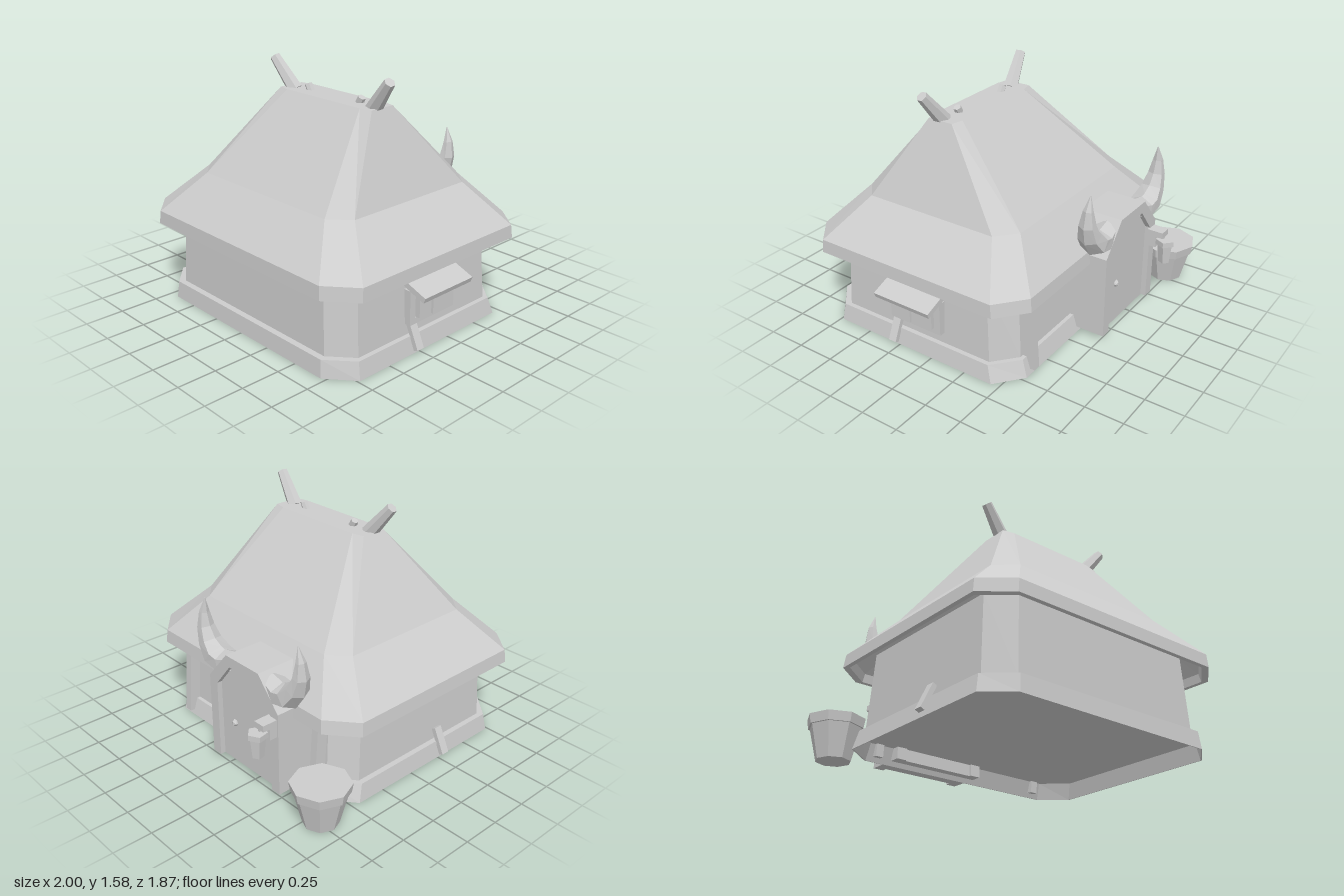
import * as THREE from 'three';

const grey = new THREE.MeshStandardMaterial({ color: 0xcccccc, flatShading: true });
grey.name = 'plain grey';

// Skin a stack of rings (each a loop of Vector3) and close both ends
function loft(rings) {
  const pos = [];
  const tri = (...v) => v.forEach(p => pos.push(p.x, p.y, p.z));
  const n = rings[0].length;
  for (let r = 0; r < rings.length - 1; r++) {
    const lo = rings[r], hi = rings[r + 1];
    for (let i = 0; i < n; i++) {
      const j = (i + 1) % n;
      tri(lo[i], hi[i], hi[j]);
      tri(lo[i], hi[j], lo[j]);
    }
  }
  const first = rings[0], last = rings[rings.length - 1];
  for (let i = 1; i < n - 1; i++) {
    tri(first[0], first[i], first[i + 1]);
    tri(last[0], last[i + 1], last[i]);
  }
  const g = new THREE.BufferGeometry();
  g.setAttribute('position', new THREE.Float32BufferAttribute(pos, 3));
  g.computeVertexNormals();
  return g;
}

// Rectangle with cut corners, lying flat at height y
function cutRect(y, x0, x1, z0, z1, cx, cz) {
  return [
    [x1, z0 + cz], [x1, z1 - cz], [x1 - cx, z1], [x0 + cx, z1],
    [x0, z1 - cz], [x0, z0 + cz], [x0 + cx, z0], [x1 - cx, z0],
  ].map(([x, z]) => new THREE.Vector3(x, y, z));
}

export function createModel() {
  const model = new THREE.Group();
  model.name = 'hut';

  const add = (name, geo, x = 0, y = 0, z = 0) => {
    const m = new THREE.Mesh(geo, grey);
    m.name = name;
    m.position.set(x, y, z);
    model.add(m);
    return m;
  };
  // Box given by its extents
  const block = (name, x0, x1, y0, y1, z0, z1) =>
    add(name, new THREE.BoxGeometry(x1 - x0, y1 - y0, z1 - z0), (x0 + x1) / 2, (y0 + y1) / 2, (z0 + z1) / 2);
  // Bar running between two points
  const bar = (name, a, b, makeGeo) => {
    const from = new THREE.Vector3(...a), to = new THREE.Vector3(...b);
    const m = add(name, makeGeo(from.distanceTo(to)));
    m.position.copy(from).add(to).multiplyScalar(0.5);
    m.quaternion.setFromUnitVectors(new THREE.Vector3(0, 1, 0), to.sub(from).normalize());
    return m;
  };

  // Base: a skirt around a raised floor
  add('base', loft([
    cutRect(0.105, -0.825, 0.865, -0.545, 0.855, 0.16, 0.14),
    cutRect(0, -0.845, 0.885, -0.58, 0.87, 0.17, 0.14),
    cutRect(0, -0.85, 0.89, -0.585, 0.875, 0.17, 0.14),
    cutRect(0.11, -0.83, 0.87, -0.55, 0.865, 0.16, 0.14),
  ]));
  // Walls lean slightly inwards, with cut corners
  add('walls', loft([
    cutRect(0.106, -0.795, 0.84, -0.525, 0.825, 0.145, 0.125),
    cutRect(0.60, -0.772, 0.815, -0.49, 0.805, 0.145, 0.12),
  ]));
  // Hollow roof: inside surface, eave, then outside surface
  add('roof', loft([
    cutRect(1.34, -0.28, 0.48, 0.10, 0.265, 0.08, 0.018),
    cutRect(0.83, -0.62, 0.665, -0.405, 0.67, 0.125, 0.11),
    cutRect(0.575, -0.88, 0.92, -0.615, 0.895, 0.18, 0.15),
    cutRect(0.52, -0.89, 0.93, -0.625, 0.905, 0.18, 0.15),
    cutRect(0.52, -0.92, 0.96, -0.655, 0.935, 0.18, 0.15),
    cutRect(0.605, -0.91, 0.955, -0.645, 0.93, 0.18, 0.15),
    cutRect(0.86, -0.65, 0.695, -0.435, 0.70, 0.125, 0.11),
    cutRect(1.382, -0.30, 0.50, 0.08, 0.287, 0.08, 0.018),
  ]));

  // Planks leaning on the back wall and the sides
  const plank = (w, d) => len => new THREE.BoxGeometry(w, len, d);
  for (const x of [0.645, -0.605]) bar('backPlank', [x, 0.03, -0.57], [x, 0.60, -0.53], plank(0.05, 0.075));
  bar('sidePlank', [0.915, 0.03, 0.28], [0.845, 0.19, 0.28], plank(0.03, 0.055));
  bar('sidePlank', [-0.875, 0.03, 0.28], [-0.80, 0.19, 0.28], plank(0.03, 0.055));

  // Ridge poles and pegs
  const pole = (r0, r1) => len => new THREE.CylinderGeometry(r1, r0, len, 6);
  for (const s of [-1, 1]) {
    const cx = 0.1;
    bar('ridgePole', [cx + s * 0.34, 1.36, 0.2], [cx + s * 0.5, 1.555, 0.23], pole(0.05, 0.034));
    bar('ridgePeg', [cx + s * 0.205, 1.36, 0.185], [cx + s * 0.235, 1.415, 0.185], pole(0.026, 0.024));
  }

  // Window with awning on the right-hand wall
  block('windowBoard', 0.80, 0.85, 0.18, 0.40, -0.065, 0.32);
  block('windowSill', 0.84, 0.875, 0.18, 0.22, -0.065, 0.32);
  block('windowJamb', 0.84, 0.875, 0.2, 0.40, -0.065, -0.02);
  block('windowJamb', 0.84, 0.875, 0.2, 0.40, 0.275, 0.32);
  block('shutter', 0.84, 0.90, 0.22, 0.38, -0.02, 0.135);
  block('shutter', 0.84, 0.90, 0.22, 0.38, 0.165, 0.265);
  block('mullion', 0.84, 0.915, 0.22, 0.38, 0.135, 0.165);
  const awning = add('awning', new THREE.BoxGeometry(0.19, 0.035, 0.415), 0.905, 0.421, 0.1275);
  awning.rotation.z = -0.36;

  // Porch: arched frame around a recessed door at the back
  const px = -0.18;
  const outline = (path, w, top, flat, shoulder) => {
    [[-w, 0.03], [w, 0.03], [w, shoulder], [flat, top], [-flat, top], [-w, shoulder]]
      .forEach(([x, y], i) => i ? path.lineTo(x, y) : path.moveTo(x, y));
    path.closePath();
    return path;
  };
  // The frame is one arch standing on two feet
  const frame = new THREE.Shape([
    [-0.32, 0.03], [-0.25, 0.03], [-0.25, 0.55], [-0.12, 0.71], [0.12, 0.71], [0.25, 0.55],
    [0.25, 0.03], [0.32, 0.03], [0.32, 0.58], [0.15, 0.78], [-0.15, 0.78], [-0.32, 0.58],
  ].map(([x, y]) => new THREE.Vector2(x, y)));
  add('doorFrame', new THREE.ExtrudeGeometry(frame, { depth: 0.27, bevelEnabled: false }), px, 0, -0.767);
  add('door', new THREE.ExtrudeGeometry(outline(new THREE.Shape(), 0.255, 0.72, 0.125, 0.555),
    { depth: 0.22, bevelEnabled: false }), px, 0, -0.732);
  add('doorKnob', new THREE.IcosahedronGeometry(0.024, 0), -0.055, 0.31, -0.735);

  // Horns on the porch: tapering curved lofts
  for (const s of [-1, 1]) {
    const curve = new THREE.CatmullRomCurve3([[0.16, 0.70], [0.29, 0.665], [0.395, 0.74], [0.445, 0.88], [0.425, 1.04]]
      .map(([x, y], k) => new THREE.Vector3(px + s * x, y, -0.68 - 0.005 * k)));
    const radii = [0.065, 0.078, 0.078, 0.062, 0.046, 0.028, 0.002];
    const rings = radii.map((r, k) => {
      const u = k / (radii.length - 1);
      const p = curve.getPointAt(u), t = curve.getTangentAt(u);
      return Array.from({ length: 6 }, (_, i) => {
        const a = i * Math.PI / 3, c = r * Math.cos(a);
        return new THREE.Vector3(p.x + t.y * c, p.y - t.x * c, p.z + r * 1.22 * Math.sin(a));
      });
    });
    add('horn', loft(rings));
  }

  // Lantern on a bracket beside the door
  block('lanternBracket', -0.49, -0.41, 0.43, 0.545, -0.82, -0.76);
  block('lanternArm', -0.49, -0.41, 0.505, 0.545, -0.867, -0.80);
  add('lanternHook', new THREE.CylinderGeometry(0.012, 0.012, 0.05, 5), -0.445, 0.495, -0.855);
  for (const [name, top, bottom, h, y] of [['lanternCap', 0.062, 0.062, 0.035, 0.473], ['lanternBody', 0.05, 0.036, 0.13, 0.392]])
    add(name, new THREE.CylinderGeometry(top, bottom, h, 5), -0.445, y, -0.875).rotation.y = 0.5;

  // Barrel at the back corner
  add('barrel', new THREE.CylinderGeometry(0.165, 0.11, 0.215, 8), -0.815, 0.1075, -0.725);
  add('barrelRim', new THREE.CylinderGeometry(0.185, 0.175, 0.06, 8), -0.815, 0.24, -0.725);

  return model;
}
